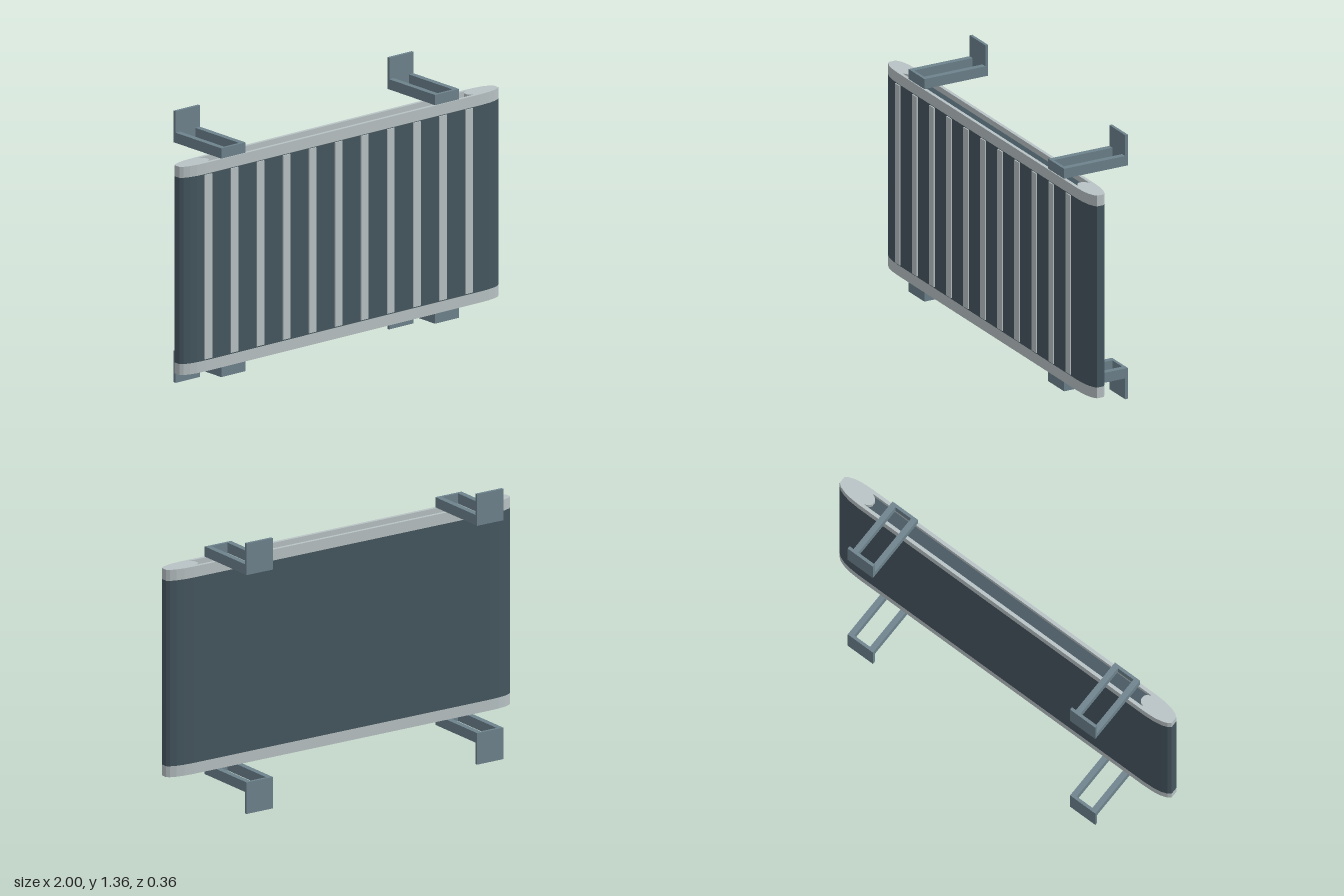
import * as THREE from 'three';

const MID_Y = 0.678; // mirror height of the panel
const PANEL_Z = 0.124;

export function createModel() {
  const dark = new THREE.MeshStandardMaterial({ name: 'darkPanel', color: 0x45565f });
  const light = new THREE.MeshStandardMaterial({ name: 'lightTrim', color: 0xb8c2c4 });
  const steel = new THREE.MeshStandardMaterial({ name: 'bracketSteel', color: 0x6e838d });
  const root = new THREE.Group();
  root.name = 'wallPanel';

  // Plan outlines, given as one quadrant and mirrored to all four
  const outline = (quarter, Type) => {
    const back = [...quarter].reverse();
    const pts = [
      ...back.map(([x, z]) => [x, -z]), ...quarter.map(([x, z]) => [x, z]),
      ...back.map(([x, z]) => [-x, z]), ...quarter.map(([x, z]) => [-x, -z]),
    ].reverse();
    return new Type(pts.reverse().map(([x, z]) => new THREE.Vector2(x, z)));
  };
  const body = [[1, 0.018], [0.985, 0.03], [0.955, 0.041], [0.915, 0.048], [0.86, 0.051]];
  const slot = [[0.81, 0.012], [0.82, 0.024], [0.84, 0.034]];

  const slab = (name, shape, material, y0, y1, parent = root) => {
    const geo = new THREE.ExtrudeGeometry(shape, { depth: y1 - y0, bevelEnabled: false });
    geo.rotateX(-Math.PI / 2);
    const mesh = new THREE.Mesh(geo, material);
    mesh.name = name;
    mesh.position.set(0, y0, PANEL_Z);
    parent.add(mesh);
    return mesh;
  };
  const box = (name, material, x0, x1, y0, y1, z0, z1, parent = root) => {
    const mesh = new THREE.Mesh(new THREE.BoxGeometry(x1 - x0, y1 - y0, z1 - z0), material);
    mesh.name = name;
    mesh.position.set((x0 + x1) / 2, (y0 + y1) / 2, (z0 + z1) / 2);
    parent.add(mesh);
  };

  // Main panel, with its core showing at the bottom of the slotted rims
  slab('panelBody', outline(body, THREE.Shape), dark, 0.213, 1.143);
  slab('panelCore', outline(slot, THREE.Shape), dark, 0.186, 1.17);

  // Slotted rims
  const rimShape = outline(body, THREE.Shape);
  rimShape.holes.push(outline(slot, THREE.Path));
  slab('topRim', rimShape, light, 1.143, 1.198);
  slab('bottomRim', rimShape, light, 0.158, 0.213);

  // Front ribs
  for (let i = 0; i < 11; i++) {
    const x = -0.85 + i * 0.1635;
    box('frontRib', light, x - 0.0225, x + 0.0225, 0.22, 1.14, 0.172, 0.181);
  }

  // Wall brackets: open frame on the rim and an upright or hanging plate
  for (const x of [-0.685, 0.655]) {
    for (const side of [1, -1]) {
      const bracket = new THREE.Group();
      bracket.name = side > 0 ? 'topBracket' : 'bottomBracket';
      root.add(bracket);
      const part = (name, x0, x1, h0, h1, z0, z1) => {
        const a = MID_Y + side * h0, b = MID_Y + side * h1;
        box(name, steel, x + x0, x + x1, Math.min(a, b), Math.max(a, b), z0, z1, bracket);
      };
      part('bracketArm', -0.076, -0.047, 0.52, 0.571, -0.166, 0.155);
      part('bracketArm', 0.047, 0.076, 0.52, 0.571, -0.166, 0.155);
      part('bracketFront', -0.076, 0.076, 0.52, 0.571, 0.155, 0.17);
      part('wallPlate', -0.076, 0.076, 0.52, 0.678, -0.181, -0.166);
    }
  }
  return root;
}
